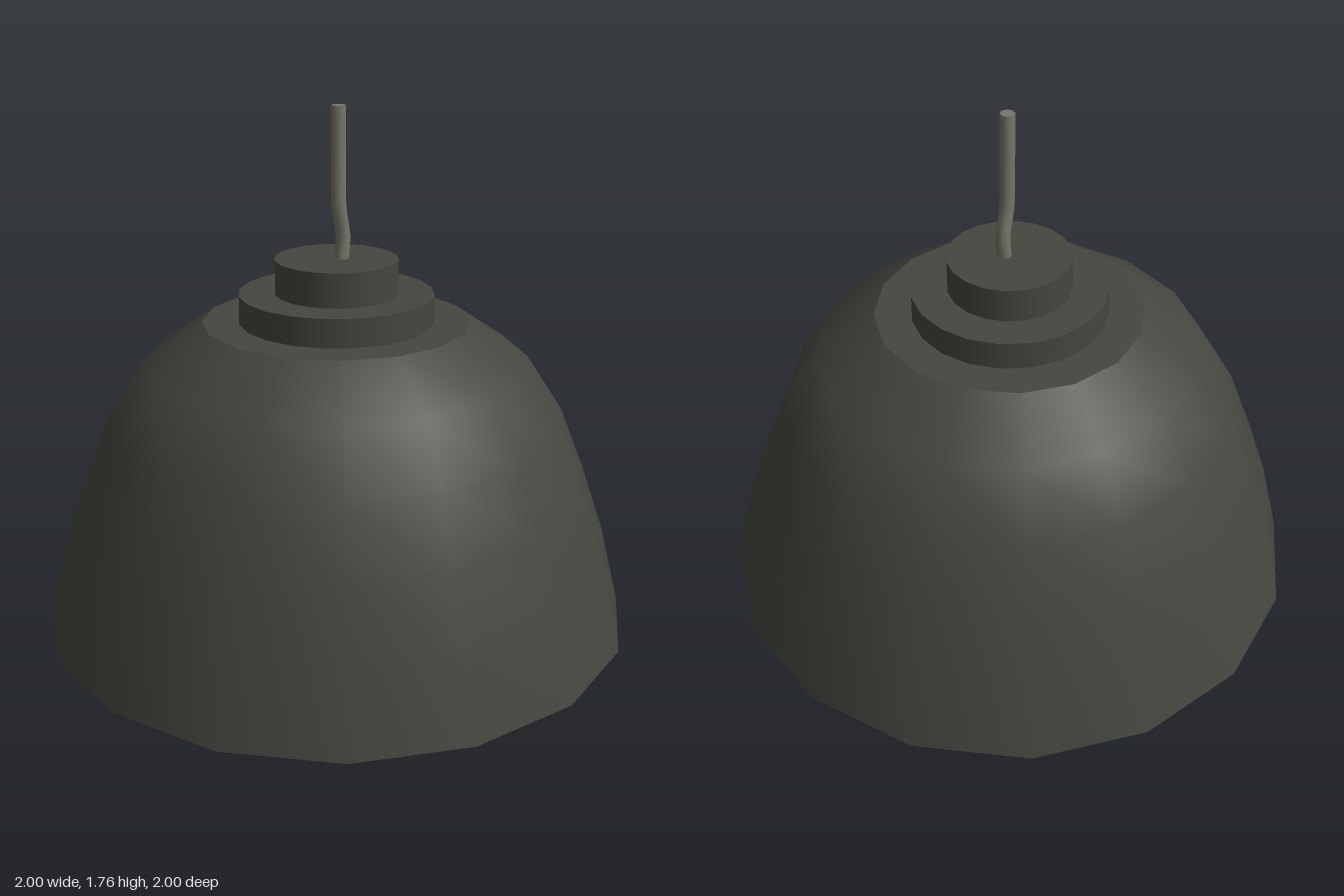
import * as THREE from 'three';

const darkMetal = new THREE.MeshStandardMaterial({ name: 'darkMetal', color: 0x45463f, side: THREE.DoubleSide });
const cableGrey = new THREE.MeshStandardMaterial({ name: 'cableGrey', color: 0x77776a });
const amberGlass = new THREE.MeshStandardMaterial({ name: 'amberGlass', color: 0xdba63f });

const profile = (pairs) => pairs.map(([r, y]) => new THREE.Vector2(r, y));

export function createModel() {
  const model = new THREE.Group();
  model.name = 'pendantLamp';

  const add = (name, geometry, material, parent = model) => {
    const mesh = new THREE.Mesh(geometry, material);
    mesh.name = name;
    parent.add(mesh);
    return mesh;
  };
  const drum = (name, radius, bottom, top, sides) => {
    const mesh = add(name, new THREE.CylinderGeometry(radius, radius, top - bottom, sides), darkMetal);
    mesh.position.y = (bottom + top) / 2;
  };

  // Open bell shade with a flat crown, sixteen sides
  const shade = new THREE.Group();
  shade.name = 'shade';
  model.add(shade);
  const bell = profile([[1, 0], [0.93, 0.28], [0.85, 0.51], [0.768, 0.72], [0.645, 0.91], [0.447, 1.045]]);
  add('shadeBell', new THREE.LatheGeometry(bell, 16), darkMetal, shade);
  const crown = add('shadeCrown', new THREE.CircleGeometry(0.447, 16), darkMetal, shade);
  crown.rotation.x = -Math.PI / 2;
  crown.position.y = 1.045;

  // Stepped cap above the shade and the lamp holder inside it
  drum('lowerCap', 0.325, 1.04, 1.14, 20);
  drum('upperCap', 0.205, 1.14, 1.255, 20);
  drum('lampHolder', 0.13, 0.68, 1.04, 16);

  // Pear-shaped bulb
  const bulb = profile([[0, 0.06], [0.055, 0.068], [0.11, 0.094], [0.158, 0.142], [0.187, 0.2],
    [0.195, 0.255], [0.186, 0.33], [0.165, 0.42], [0.147, 0.5], [0.136, 0.58], [0.125, 0.69]]);
  add('bulb', new THREE.LatheGeometry(bulb, 20), amberGlass);

  // Slightly kinked cable, closed at its top end
  const path = new THREE.CatmullRomCurve3([[0.008, 1.23], [0.019, 1.32], [-0.001, 1.43], [-0.003, 1.53], [-0.004, 1.755]]
    .map(([x, y]) => new THREE.Vector3(x, y, 0.012)));
  add('cable', new THREE.TubeGeometry(path, 16, 0.024, 8), cableGrey);
  const end = add('cableEnd', new THREE.CircleGeometry(0.024, 8), cableGrey);
  end.rotation.x = -Math.PI / 2;
  end.position.set(-0.004, 1.755, 0.012);

  return model;
}
